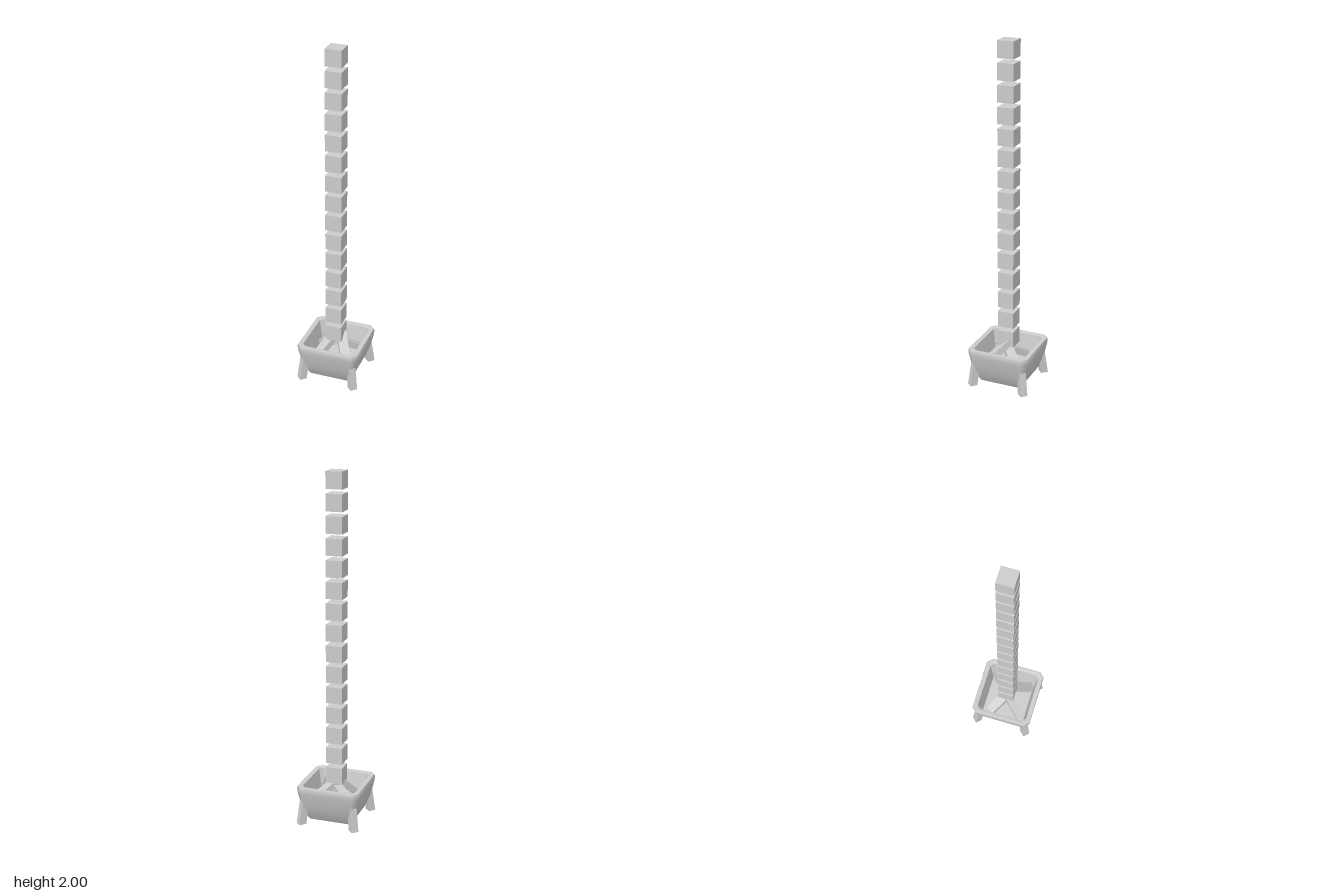
import * as THREE from 'three';
import { toCreasedNormals } from 'three/addons/utils/BufferGeometryUtils.js';

const material = new THREE.MeshStandardMaterial({ color: 0xcccccc });

function addMesh(parent, geometry, name) {
  const mesh = new THREE.Mesh(geometry, material);
  mesh.name = name;
  parent.add(mesh);
  return mesh;
}

// Lofts square rings with cut corners; each ring is [half width, corner cut, y].
function loftSquares(rings, crease) {
  const positions = [];
  const index = [];
  for (const [h, c, y] of rings) {
    const k = h - c;
    for (const [x, z] of [[h, -k], [h, k], [k, h], [-k, h], [-h, k], [-h, -k], [-k, -h], [k, -h]]) {
      positions.push(x, y, z);
    }
  }
  for (let r = 0; r < rings.length - 1; r++) {
    for (let i = 0; i < 8; i++) {
      const a = r * 8 + i;
      const b = r * 8 + (i + 1) % 8;
      index.push(a, a + 8, b, b, a + 8, b + 8);
    }
  }
  const geometry = new THREE.BufferGeometry();
  geometry.setAttribute('position', new THREE.Float32BufferAttribute(positions, 3));
  geometry.setIndex(index);
  return toCreasedNormals(geometry, crease);
}

// A box beam running between two points.
function addBeam(parent, from, to, width, thickness, name) {
  const a = new THREE.Vector3(...from);
  const b = new THREE.Vector3(...to);
  const beam = addMesh(parent, new THREE.BoxGeometry(width, thickness, a.distanceTo(b)), name);
  beam.position.copy(a).add(b).multiplyScalar(0.5);
  beam.lookAt(b);
}

export function createModel() {
  const model = new THREE.Group();
  model.name = 'brazier';

  // Bowl: flat underside, swelling sides and a softened rim
  addMesh(model, loftSquares([
    [0.001, 0.0003, 0.022], [0.127, 0.012, 0.022], [0.142, 0.016, 0.05],
    [0.157, 0.02, 0.09], [0.168, 0.024, 0.13], [0.176, 0.027, 0.165],
    [0.182, 0.029, 0.195], [0.184, 0.03, 0.215], [0.181, 0.029, 0.227],
    [0.168, 0.025, 0.229], [0.155, 0.021, 0.224],
  ], 0.9), 'bowl');

  // Bowl interior: sloping walls and floor
  addMesh(model, loftSquares([
    [0.155, 0.021, 0.224], [0.13, 0.02, 0.09], [0.001, 0.0003, 0.09],
  ], 0.5), 'bowlInterior');

  // Splayed legs at the four corners
  const legs = new THREE.Group();
  legs.name = 'legs';
  model.add(legs);
  for (let i = 0; i < 4; i++) {
    const geometry = new THREE.BoxGeometry(0.042, 0.14, 0.042);
    const p = geometry.attributes.position;
    for (let v = 0; v < p.count; v++) {
      if (p.getY(v) > 0) p.setXYZ(v, p.getX(v) * 0.9, p.getY(v), p.getZ(v) - 0.021);
    }
    geometry.translate(0, 0.07, 0.222);
    geometry.computeVertexNormals();
    addMesh(legs, geometry, 'leg').rotation.y = Math.PI / 4 + i * Math.PI / 2;
  }

  // Logs leaning together inside the bowl
  const logs = new THREE.Group();
  logs.name = 'logs';
  model.add(logs);
  addBeam(logs, [-0.115, 0.12, -0.08], [0.01, 0.2, 0.005], 0.055, 0.035, 'log');
  addBeam(logs, [0.115, 0.12, -0.1], [0, 0.22, 0.01], 0.055, 0.035, 'log');
  addBeam(logs, [-0.1, 0.11, 0.11], [-0.01, 0.24, -0.005], 0.055, 0.035, 'log');
  addBeam(logs, [0.105, 0.11, 0.115], [0.022, 0.255, -0.02], 0.055, 0.035, 'log');

  // Floating column of cubes rising from the logs
  const column = new THREE.Group();
  column.name = 'cubeColumn';
  model.add(column);
  const size = 0.095;
  for (let i = 0; i < 15; i++) {
    addMesh(column, new THREE.BoxGeometry(size, size, size), 'cube')
      .position.set(-0.002, 2 - size / 2 - i * 0.12, -0.002);
  }
  return model;
}
